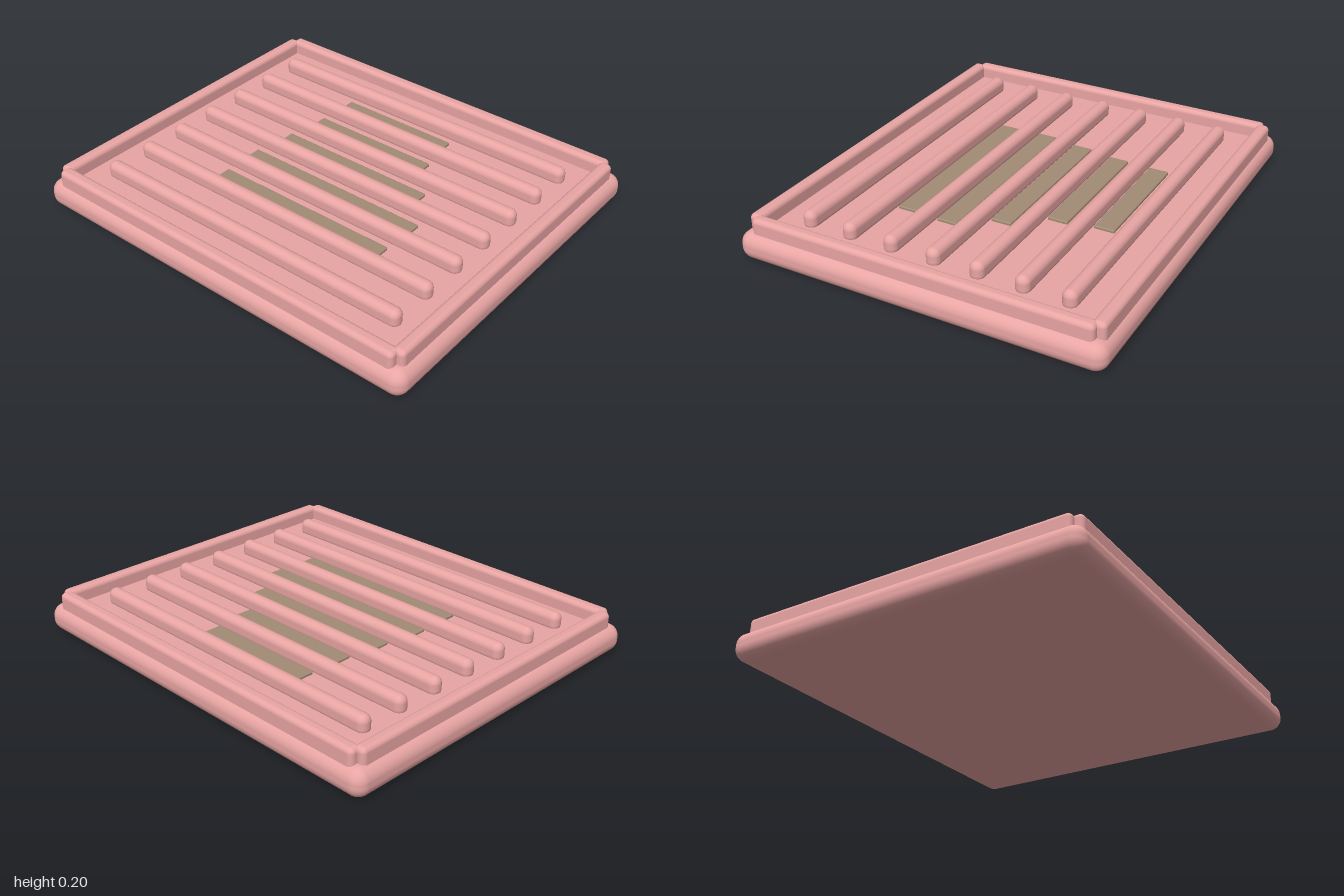
import * as THREE from 'three';
import { RoundedBoxGeometry } from 'three/addons/geometries/RoundedBoxGeometry.js';

export function createModel() {
  const model = new THREE.Group();
  model.name = 'ridgedTray';
  const pink = new THREE.MeshStandardMaterial({ color: 0xe8a5a3 });
  const brown = new THREE.MeshStandardMaterial({ color: 0xa28c74 });

  // Rounded block given by its size, top height and plan position
  function block(name, [w, h, d], radius, top, x, z, material = pink) {
    const mesh = new THREE.Mesh(new RoundedBoxGeometry(w, h, d, 6, radius), material);
    mesh.name = name;
    mesh.position.set(x, top - h / 2, z);
    model.add(mesh);
  }

  // Thick slab with rounded edges
  block('base', [2, 0.13, 1.71], 0.057, 0.13, 0, 0);

  // Raised rim: long rails front and back, shorter ones at the sides
  for (const s of [-1, 1]) {
    block(s > 0 ? 'frontRim' : 'backRim', [1.87, 0.13, 0.062], 0.022, 0.196, 0, s * 0.798);
    block(s > 0 ? 'leftRim' : 'rightRim', [0.06, 0.13, 1.59], 0.022, 0.196, s * 0.935, 0);
  }

  // Seven round-ended ridges across the tray
  for (let i = -3; i <= 3; i++) {
    block('ridge', [1.64, 0.09, 0.066], 0.032, 0.2, 0, i * 0.205);
  }

  // Dark strips lying in the grooves, each with its own x range
  const strips = [[-0.35, 0.245], [-0.36, 0.275], [-0.39, 0.4], [-0.42, 0.51], [-0.415, 0.5]];
  strips.forEach(([x0, x1], i) => {
    block('grooveStrip', [x1 - x0, 0.03, 0.095], 0.006, 0.143, (x0 + x1) / 2, -0.497 + i * 0.205, brown);
  });

  return model;
}
